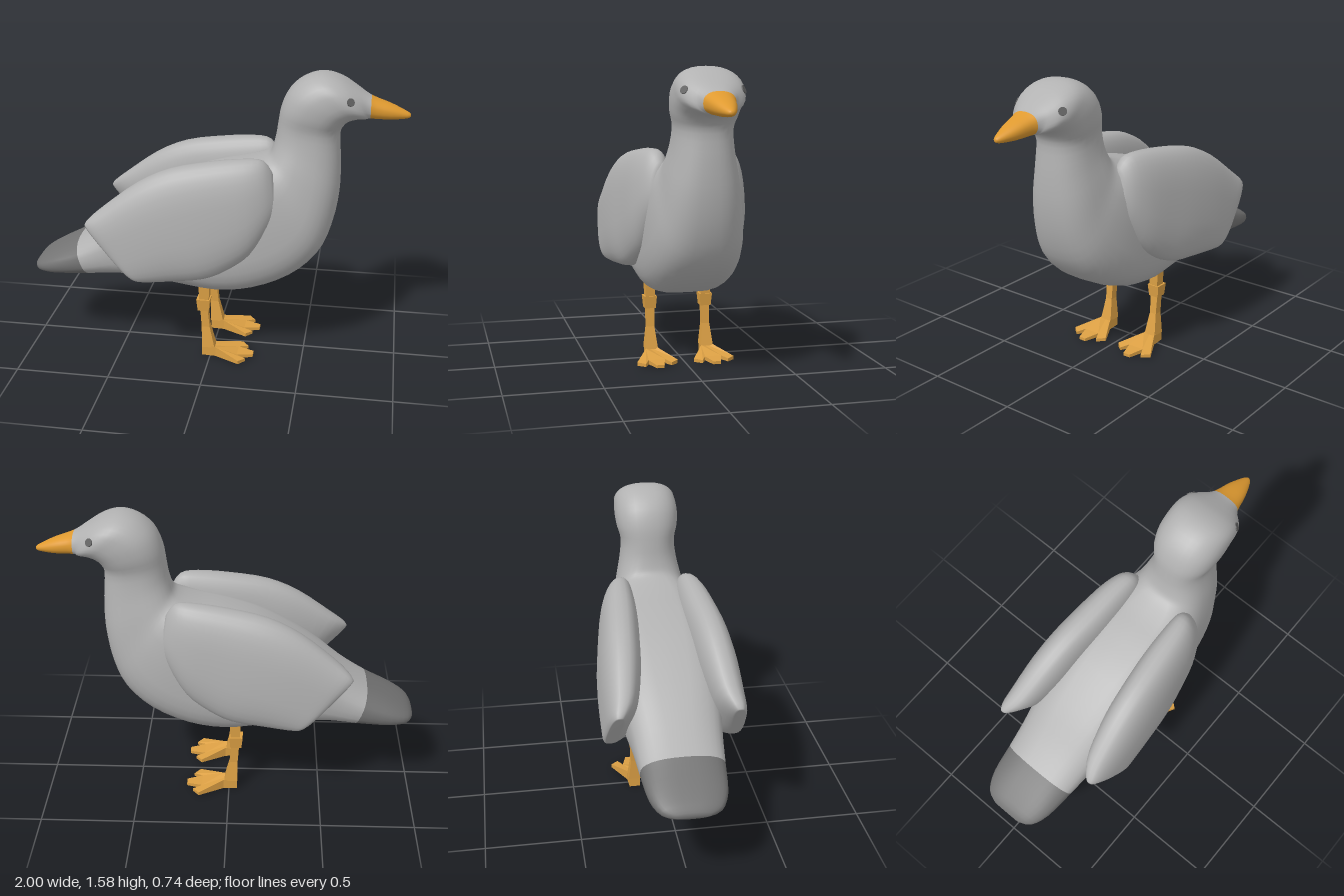
import * as THREE from 'three';

const mat = (name, color) => {
  const m = new THREE.MeshStandardMaterial({ color });
  m.name = name;
  return m;
};

// Smooth interpolation between four neighbouring values
const catmull = (a, b, c, d, t) =>
  b + 0.5 * t * (c - a + t * (2 * a - 5 * b + 4 * c - d + t * (3 * (b - c) + d - a)));

const SIDES = 32, STEPS = 3;

// Loft through sections [topX, topY, bottomX, bottomY, halfWidth, squareness, centreZ]
function loft(sections, tilt = 0) {
  const last = sections.length - 1, rings = [];
  const at = (i) => sections[Math.min(last, Math.max(0, i))];
  for (let i = 0; i <= last; i++) {
    for (let k = 0; k < (i < last ? STEPS : 1); k++) {
      rings.push(at(i).map((_, n) =>
        catmull(at(i - 1)[n], at(i)[n], at(i + 1)[n], at(i + 2)[n], k / STEPS)));
    }
  }
  const pos = [], index = [];
  const power = (v, e) => Math.sign(v) * Math.abs(v) ** e;
  for (const [ax, ay, bx, by, w, e, zc = 0] of rings) {
    for (let j = 0; j < SIDES; j++) {
      const a = (j / SIDES) * Math.PI * 2;
      const c = power(Math.cos(a), e), s = power(Math.sin(a), e);
      pos.push((ax + bx) / 2 + c * (ax - bx) / 2, (ay + by) / 2 + c * (ay - by) / 2, zc + s * w - tilt * c);
    }
  }
  const mid = ([ax, ay, bx, by, , , zc = 0]) => pos.push((ax + bx) / 2, (ay + by) / 2, zc);
  mid(rings[0]);
  mid(rings[rings.length - 1]);
  const first = rings.length * SIDES, end = (rings.length - 1) * SIDES;
  for (let j = 0; j < SIDES; j++) index.push(first, (j + 1) % SIDES, j);
  for (let i = 0; i < rings.length - 1; i++) {
    for (let j = 0; j < SIDES; j++) {
      const a = i * SIDES + j, b = i * SIDES + (j + 1) % SIDES;
      index.push(a, b, b + SIDES, a, b + SIDES, a + SIDES);
    }
  }
  for (let j = 0; j < SIDES; j++) index.push(first + 1, end + j, end + (j + 1) % SIDES);
  const g = new THREE.BufferGeometry();
  g.setAttribute('position', new THREE.Float32BufferAttribute(pos, 3));
  g.setIndex(index);
  g.computeVertexNormals();
  return g;
}

// Part of a loft between two index positions, keeping the shared smooth normals
function slice(g, from, to) {
  const part = new THREE.BufferGeometry();
  part.setAttribute('position', g.getAttribute('position'));
  part.setAttribute('normal', g.getAttribute('normal'));
  part.setIndex(Array.from(g.index.array.slice(from, to)));
  return part;
}

// Tapered box: each end is [y, minX, maxX, halfWidth]
function taperedBox(low, high) {
  const g = new THREE.BoxGeometry(1, 1, 1), p = g.attributes.position;
  for (let i = 0; i < p.count; i++) {
    const [y, x0, x1, w] = p.getY(i) < 0 ? low : high;
    p.setXYZ(i, p.getX(i) < 0 ? x0 : x1, y, Math.sign(p.getZ(i)) * w);
  }
  g.computeVertexNormals();
  return g;
}

// Webbed foot with three toes, thinning toward the tips
function footGeometry() {
  const half = [[-0.045, 0.03], [0.03, 0.035], [0.165, 0.11], [0.2, 0.07], [0.15, 0.045], [0.235, 0.02]];
  const outline = [...half, ...half.map(([x, z]) => [x, -z]).reverse()];
  const shape = new THREE.Shape(outline.map(([x, z]) => new THREE.Vector2(x, z)));
  const g = new THREE.ExtrudeGeometry(shape, { depth: 1, bevelEnabled: false });
  g.rotateX(-Math.PI / 2);
  const p = g.attributes.position;
  for (let i = 0; i < p.count; i++) {
    const t = THREE.MathUtils.smoothstep(p.getX(i), 0, 0.2);
    p.setY(i, p.getY(i) > 0.5 ? 0.058 - 0.038 * t : 0.004 * t);
  }
  g.computeVertexNormals();
  return g;
}

export function createModel() {
  const model = new THREE.Group();
  model.name = 'bird';
  const plumage = mat('plumage grey', 0xb2b2b2);
  const dark = mat('tail grey', 0x747474);
  const eyeGrey = mat('eye grey', 0x626262);
  const beakOrange = mat('beak orange', 0xdf9a30);
  const legOrange = mat('leg orange', 0xdca044);
  const add = (name, geometry, material, parent = model) => {
    const m = new THREE.Mesh(geometry, material);
    m.name = name;
    parent.add(m);
    return m;
  };

  // Tail, trunk, neck, head and beak in one sweep
  const tail = [
    [-1, 0.45, -0.997, 0.425, 0.08, 0.8],
    [-0.97, 0.485, -0.96, 0.41, 0.15, 0.8],
    [-0.88, 0.54, -0.86, 0.405, 0.195, 0.8],
    [-0.745, 0.615, -0.67, 0.415, 0.215, 0.8],
  ];
  const trunk = [
    [-0.6, 0.71, -0.52, 0.43, 0.23, 0.75],
    [-0.42, 0.85, -0.38, 0.425, 0.25, 0.65],
    [-0.2, 0.98, -0.18, 0.4, 0.255, 0.58],
    [0, 1.05, 0.02, 0.375, 0.255, 0.55],
    [0.14, 1.085, 0.22, 0.4, 0.255, 0.58],
    [0.22, 1.11, 0.42, 0.485, 0.245, 0.62],
    [0.265, 1.13, 0.56, 0.61, 0.225, 0.68],
    [0.29, 1.15, 0.63, 0.77, 0.2, 0.75],
    [0.305, 1.18, 0.66, 0.95, 0.18, 0.8],
    [0.32, 1.24, 0.66, 1.12, 0.157, 0.85],
    [0.33, 1.31, 0.65, 1.26, 0.147, 0.85],
    [0.345, 1.4, 0.67, 1.315, 0.165, 0.85],
    [0.385, 1.49, 0.7, 1.342, 0.172, 0.85],
    [0.46, 1.555, 0.73, 1.352, 0.17, 0.85],
    [0.55, 1.58, 0.75, 1.355, 0.165, 0.85],
    [0.64, 1.56, 0.77, 1.355, 0.148, 0.85],
    [0.72, 1.515, 0.785, 1.355, 0.118, 0.85],
  ];
  const beak = [
    [0.8, 1.467, 0.8, 1.355, 0.08, 0.85],
    [0.9, 1.432, 0.9, 1.352, 0.055, 0.9],
    [0.98, 1.396, 0.98, 1.358, 0.024, 1],
    [1, 1.382, 1, 1.368, 0.008, 1],
  ];
  const sweep = loft([...tail, ...trunk, ...beak]);
  const rowEnd = (section) => (1 + 2 * section * STEPS) * SIDES * 3;
  const tailEnd = rowEnd(tail.length - 1), beakStart = rowEnd(tail.length + trunk.length);
  add('tail', slice(sweep, 0, tailEnd), dark);
  const body = add('body', slice(sweep, tailEnd, beakStart), plumage);
  add('beak', slice(sweep, beakStart, sweep.index.count), beakOrange);

  for (const [side, s] of [['left', -1], ['right', 1]]) {
    // Folded wing with a slanted trailing edge
    const wing = [
      [-0.645, 0.79, -0.41, 0.52, 0.03, 0.7, 0.315],
      [-0.625, 0.82, -0.37, 0.495, 0.055, 0.7, 0.305],
      [-0.55, 0.885, -0.31, 0.485, 0.085, 0.75, 0.28],
      [-0.37, 1.02, -0.19, 0.49, 0.107, 0.8, 0.258],
      [-0.2, 1.1, -0.02, 0.51, 0.112, 0.8, 0.243],
      [0, 1.14, 0.1, 0.56, 0.11, 0.8, 0.225],
      [0.18, 1.16, 0.22, 0.65, 0.098, 0.85, 0.21],
      [0.275, 1.15, 0.31, 0.8, 0.07, 0.9, 0.195],
      [0.325, 1.08, 0.35, 0.9, 0.03, 1, 0.185],
    ].map((r) => [...r.slice(0, 6), r[6] * s]);
    add(side + 'Wing', loft(wing, 0.015 * s), plumage);

    // Eye disc laid on the surface of the head
    const ray = new THREE.Raycaster(new THREE.Vector3(0.7, 1.47, s), new THREE.Vector3(0, 0, -s));
    const hit = ray.intersectObject(body)[0];
    if (hit) {
      const eye = add(side + 'Eye', new THREE.CylinderGeometry(0.021, 0.021, 0.008, 16), eyeGrey);
      eye.position.copy(hit.point);
      eye.quaternion.setFromUnitVectors(new THREE.Vector3(0, 1, 0), hit.face.normal);
    }

    // Leg and webbed foot
    const leg = new THREE.Group();
    leg.name = side + 'Leg';
    leg.position.z = 0.155 * s;
    model.add(leg);
    add('thigh', taperedBox([0.33, -0.06, -0.008, 0.025], [0.45, -0.065, -0.005, 0.028]), legOrange, leg);
    add('knee', taperedBox([0.27, -0.068, -0.008, 0.029], [0.337, -0.075, -0.002, 0.035]), legOrange, leg);
    add('upperShin', taperedBox([0.17, -0.048, -0.004, 0.02], [0.275, -0.055, -0.014, 0.022]), legOrange, leg);
    add('lowerShin', taperedBox([0.05, -0.045, 0.025, 0.034], [0.17, -0.048, -0.004, 0.02]), legOrange, leg);
    add('foot', footGeometry(), legOrange, leg);
  }
  return model;
}
